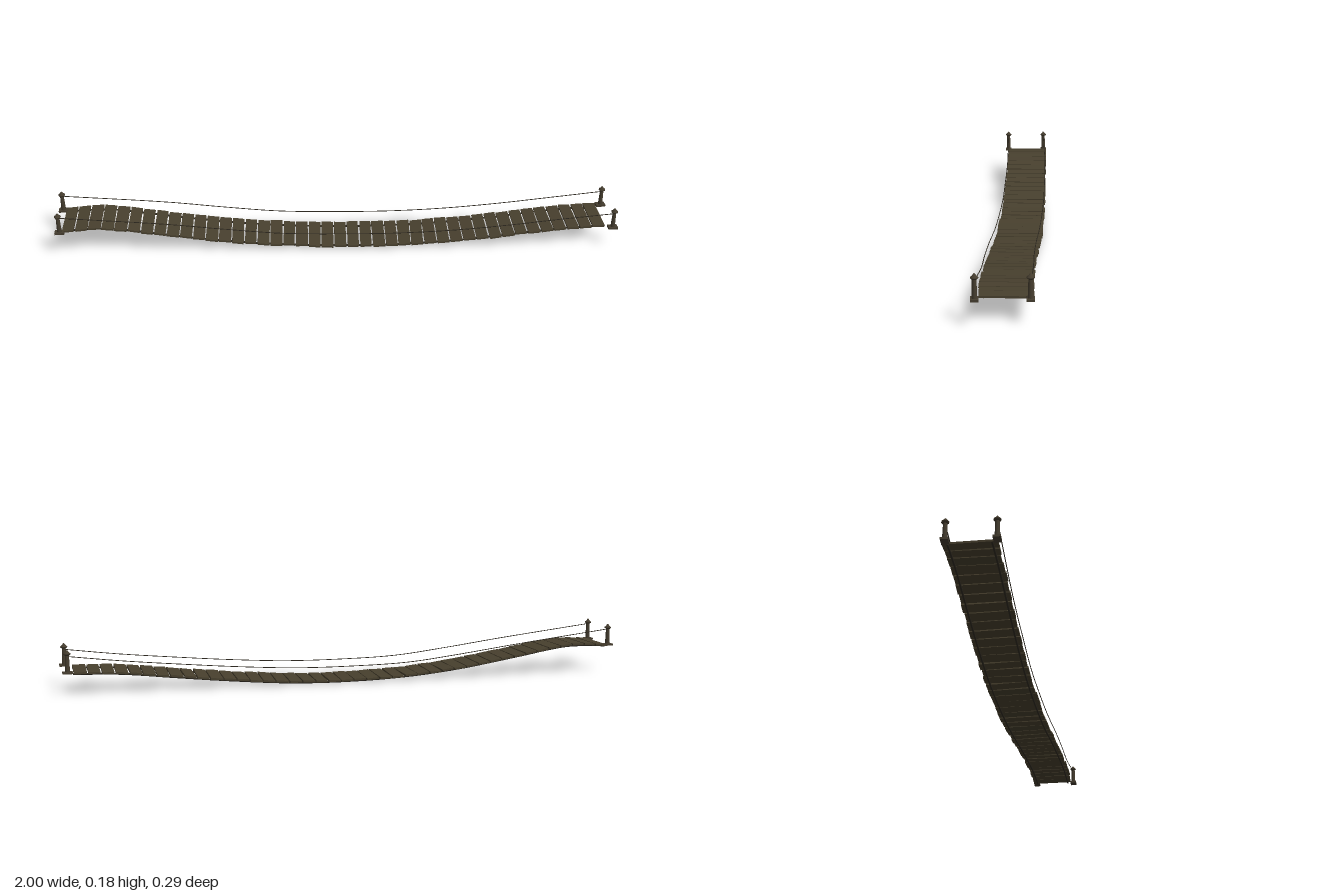
import * as THREE from 'three';

const mat = (name, color) => {
  const m = new THREE.MeshStandardMaterial({ color });
  m.name = name;
  return m;
};

// small seeded generator for plank irregularity, -1..1
let seed = 7;
const jitter = () => {
  seed = (seed * 16807) % 2147483647;
  return (seed / 2147483647) * 2 - 1;
};

const curve = (pts) => new THREE.CatmullRomCurve3(pts.map((p) => new THREE.Vector3(...p)));

export function createModel() {
  const bridge = new THREE.Group();
  bridge.name = 'ropeBridge';
  const wood = mat('plank wood', 0x48402e);
  const postWood = mat('post wood', 0x453d2f);
  const ropeFibre = mat('rope', 0x2e2920);

  const add = (parent, name, geometry, material) => {
    const mesh = new THREE.Mesh(geometry, material);
    mesh.name = name;
    parent.add(mesh);
    return mesh;
  };

  // sagging centre line of the walkway
  const path = curve([
    [-0.974, 0.099, -0.064], [-0.83, 0.104, -0.061], [-0.6, 0.069, -0.051], [-0.4, 0.038, -0.041],
    [-0.2, 0.018, -0.03], [0, 0.01, -0.016], [0.2, 0.012, 0], [0.4, 0.026, 0.018],
    [0.6, 0.046, 0.031], [0.8, 0.068, 0.04], [0.962, 0.075, 0.046],
  ]);
  // position plus side and up directions along the walkway
  const frameAt = (t) => {
    const pos = path.getPointAt(t);
    const along = path.getTangentAt(t);
    const side = new THREE.Vector3().crossVectors(along, new THREE.Vector3(0, 1, 0)).normalize();
    const up = new THREE.Vector3().crossVectors(side, along);
    return { pos, along, side, up };
  };

  // planks, each slightly tilted and turned
  const count = 42;
  const pitch = path.getLength() / count;
  for (let i = 0; i < count; i++) {
    const { pos, along, side, up } = frameAt((i + 0.5) / count);
    const geo = new THREE.BoxGeometry(pitch - 0.0045 + jitter() * 0.002, 0.0065, 0.161 + jitter() * 0.003);
    const plank = add(bridge, 'plank', geo, wood);
    plank.quaternion.setFromRotationMatrix(new THREE.Matrix4().makeBasis(along, up, side));
    plank.rotateY(jitter() * 0.012);
    plank.rotateX(jitter() * 0.015);
    plank.rotateZ(jitter() * 0.05);
    plank.position.copy(pos).addScaledVector(side, jitter() * 0.002);
  }

  // ropes carrying the planks from below
  for (const s of [-1, 1]) {
    const pts = [];
    for (let i = 0; i <= 24; i++) {
      const { pos, side, up } = frameAt(i / 24);
      pts.push(pos.addScaledVector(side, s * 0.065).addScaledVector(up, -0.0055));
    }
    add(bridge, 'deckRope', new THREE.TubeGeometry(new THREE.CatmullRomCurve3(pts), 80, 0.0035, 6), ropeFibre);
  }

  // posts: foot plate, tapered shaft and pointed cap
  const cap = [[0, 0.062], [0.007, 0.062], [0.012, 0.066], [0.012, 0.069], [0.006, 0.074], [0.003, 0.079], [0, 0.081]]
    .map(([r, y]) => new THREE.Vector2(r, y));
  const makePost = (x, y, z) => {
    const post = new THREE.Group();
    post.name = 'post';
    post.position.set(x, y, z);
    add(post, 'footPlate', new THREE.BoxGeometry(0.034, 0.007, 0.024), postWood).position.y = 0.0035;
    add(post, 'shaft', new THREE.CylinderGeometry(0.0065, 0.0085, 0.06, 8), postWood).position.y = 0.034;
    add(post, 'cap', new THREE.LatheGeometry(cap, 8), postWood);
    bridge.add(post);
  };
  for (const z of [-0.135, 0.017]) makePost(-0.981, 0.095, z);
  for (const z of [-0.024, 0.134]) makePost(0.983, 0.072, z);

  // hand ropes, sagging from post to post beside the deck
  const handLine = [[-0.6, 0.114], [-0.4, 0.088], [-0.2, 0.066], [0, 0.06], [0.2, 0.061], [0.4, 0.072], [0.6, 0.089], [0.8, 0.109]];
  for (const s of [-1, 1]) {
    const pts = handLine.map(([x, y]) => {
      const { pos } = frameAt((x + 0.974) / 1.936);
      return [x, y, pos.z + s * 0.077];
    });
    pts.unshift([-0.981, 0.157, s < 0 ? -0.135 : 0.017]);
    pts.push([0.983, 0.131, s < 0 ? -0.024 : 0.134]);
    add(bridge, 'handRope', new THREE.TubeGeometry(curve(pts), 80, 0.0014, 6), ropeFibre);
  }

  return bridge;
}
